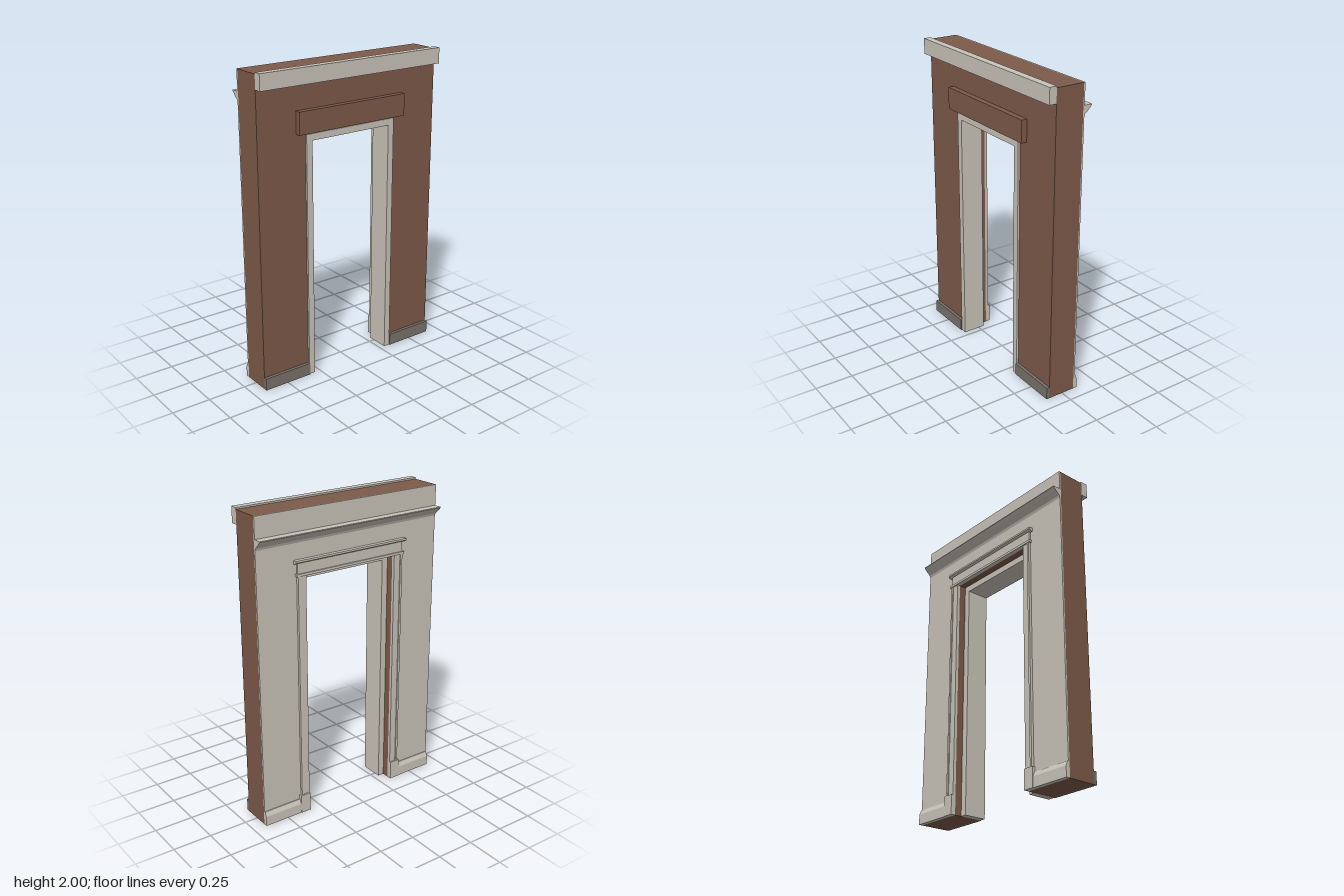
import * as THREE from 'three';

const brick = new THREE.MeshStandardMaterial({ color: 0x7d5a49 });
brick.name = 'brown brick';
const plaster = new THREE.MeshStandardMaterial({ color: 0xcac5bb });
plaster.name = 'off-white plaster';
const stone = new THREE.MeshStandardMaterial({ color: 0x7a726b });
stone.name = 'grey stone';

const HALF = 0.663, OPEN = 0.33, HEAD = 1.592; // wall half-width, opening half-width and height

export function createModel() {
  const model = new THREE.Group();
  model.name = 'doorwayWall';

  const add = (name, geometry, material) => {
    const mesh = new THREE.Mesh(geometry, material);
    mesh.name = name;
    model.add(mesh);
    return mesh;
  };

  // Box given by its limits on each axis
  const box = (name, material, x0, x1, y0, y1, z0, z1) =>
    add(name, new THREE.BoxGeometry(x1 - x0, y1 - y0, z1 - z0), material)
      .position.set((x0 + x1) / 2, (y0 + y1) / 2, (z0 + z1) / 2);

  // Upside-down U outline extruded from z0 to z1
  const portal = (name, material, outX, outY, inX, inY, z0, z1) => {
    const shape = new THREE.Shape([
      [-outX, 0], [-inX, 0], [-inX, inY], [inX, inY],
      [inX, 0], [outX, 0], [outX, outY], [-outX, outY],
    ].map(([x, y]) => new THREE.Vector2(x, y)));
    const geometry = new THREE.ExtrudeGeometry(shape, { depth: z1 - z0, bevelEnabled: false });
    add(name, geometry.translate(0, 0, z0), material);
  };

  // Moulding with a (z, y) profile running along x
  const moulding = (name, material, profile, x0, x1) => {
    const shape = new THREE.Shape(profile.map(([z, y]) => new THREE.Vector2(-z, y)));
    const geometry = new THREE.ExtrudeGeometry(shape, { depth: x1 - x0, bevelEnabled: false });
    add(name, geometry.rotateY(Math.PI / 2).translate(x0, 0, 0), material);
  };

  // Wall core, interior plaster skin and door frame
  portal('brickWall', brick, HALF, 1.99, OPEN, HEAD, -0.087, 0.1);
  portal('plasterSkin', plaster, HALF, 1.99, OPEN, HEAD, -0.096, -0.087);
  portal('doorFrame', plaster, OPEN, HEAD, 0.288, 1.55, -0.04, 0.113);

  // Street side: top band and lintel
  box('topBand', plaster, -HALF, HALF, 1.9, 2, 0.1, 0.148);
  box('lintel', brick, -0.395, 0.395, 1.602, 1.742, 0.1, 0.137);

  // Room side: picture rail
  moulding('pictureRail', plaster, [
    [-0.095, 1.79], [-0.102, 1.808], [-0.115, 1.819], [-0.132, 1.834],
    [-0.148, 1.853], [-0.148, 1.858], [-0.095, 1.858],
  ], -HALF, HALF);

  // Door head: bead, frieze and cap
  box('headBead', plaster, -0.4, 0.4, HEAD, 1.608, -0.116, -0.095);
  box('headFrieze', plaster, -0.39, 0.39, 1.608, 1.675, -0.108, -0.095);
  moulding('headCap', plaster, [
    [-0.095, 1.668], [-0.11, 1.672], [-0.123, 1.68], [-0.123, 1.692], [-0.095, 1.692],
  ], -0.41, 0.41);

  // Parts repeated on both sides of the opening
  for (const [side, s] of [['left', 1], ['right', -1]]) {
    const span = (a, b) => (s > 0 ? [a, b] : [-b, -a]);
    box(side + 'StoneBase', stone, ...span(OPEN, HALF), 0, 0.08, 0.1, 0.12);
    box(side + 'Casing', plaster, ...span(OPEN, 0.375), 0.12, HEAD, -0.107, -0.095);
    box(side + 'CasingEdge', plaster, ...span(0.375, 0.39), 0.12, HEAD, -0.113, -0.095);
    box(side + 'PlinthBlock', plaster, ...span(OPEN, 0.4), 0, 0.125, -0.118, -0.095);
    moulding(side + 'Baseboard', plaster, [
      [-0.095, 0], [-0.114, 0], [-0.114, 0.065], [-0.101, 0.095], [-0.095, 0.095],
    ], ...span(0.4, HALF));
  }

  return model;
}
